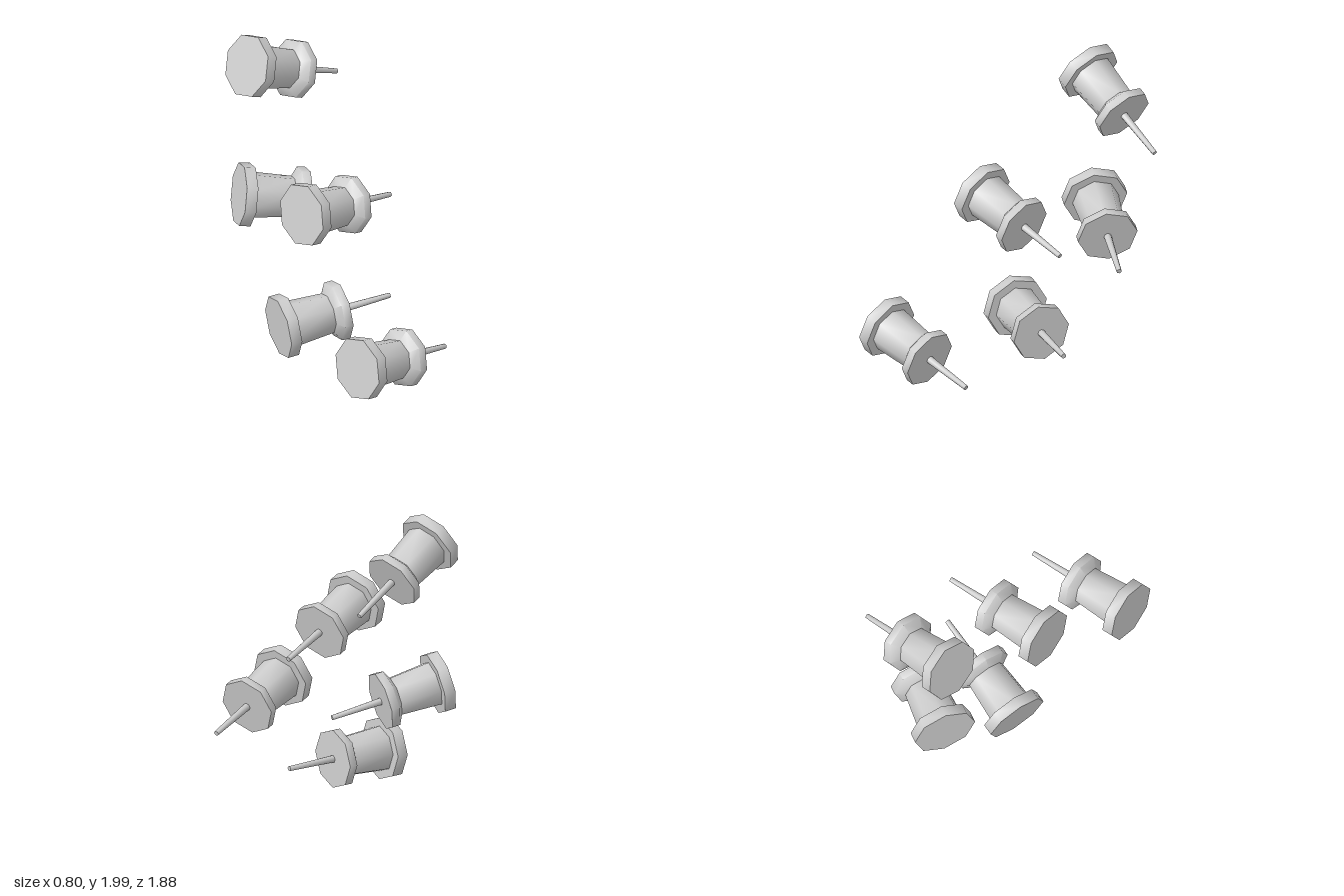
import * as THREE from 'three';
import { toCreasedNormals } from 'three/addons/utils/BufferGeometryUtils.js';

const LENGTH = 0.755;
const SIDES = 8;
const TURN = THREE.MathUtils.degToRad(5);

// Spins a [radius, height] profile into an eight-sided solid
function turned(profile) {
  const points = profile.map(([r, h]) => new THREE.Vector2(r, h));
  return toCreasedNormals(new THREE.LatheGeometry(points, SIDES, TURN), 1.02);
}

// Centre of the flat head and point of the needle for each pin
const PINS = [
  { head: [-0.305, 1.815, -0.68], tip: [0.385, 1.53, -0.77] },
  { head: [-0.345, 1.135, 0.065], tip: [0.385, 0.99, -0.095] },
  { head: [-0.32, 0.865, -0.75], tip: [0.385, 0.745, -0.515] },
  { head: [-0.345, 0.38, 0.75], tip: [0.385, 0.245, 0.58] },
  { head: [-0.36, 0.205, -0.195], tip: [0.385, 0.255, -0.115] },
];

export function createModel() {
  const model = new THREE.Group();
  model.name = 'pushPins';
  const material = new THREE.MeshStandardMaterial({ color: 0xcccccc });

  // Wide head, tapering grip and bevelled collar in one piece
  const gripGeometry = turned([
    [0, 0], [0.2, 0], [0.2, 0.072], [0.146, 0.072],
    [0.128, 0.335], [0.188, 0.372], [0.188, 0.425], [0, 0.425],
  ]);
  // Slim needle, slightly narrower at its blunt end
  const needleGeometry = turned([
    [0, 0.42], [0.024, 0.42], [0.016, LENGTH], [0, LENGTH],
  ]);

  PINS.forEach(({ head, tip }, i) => {
    const start = new THREE.Vector3(...head);
    const axis = new THREE.Vector3(...tip).sub(start).normalize();
    const up = new THREE.Vector3(0, 1, 0).addScaledVector(axis, -axis.y).normalize();
    const side = new THREE.Vector3().crossVectors(up, axis);

    const pin = new THREE.Group();
    pin.name = `pin${i + 1}`;
    pin.position.copy(start);
    pin.quaternion.setFromRotationMatrix(new THREE.Matrix4().makeBasis(up, axis, side));

    const grip = new THREE.Mesh(gripGeometry, material);
    grip.name = 'grip';
    const needle = new THREE.Mesh(needleGeometry, material);
    needle.name = 'needle';
    pin.add(grip, needle);
    model.add(pin);
  });
  return model;
}
